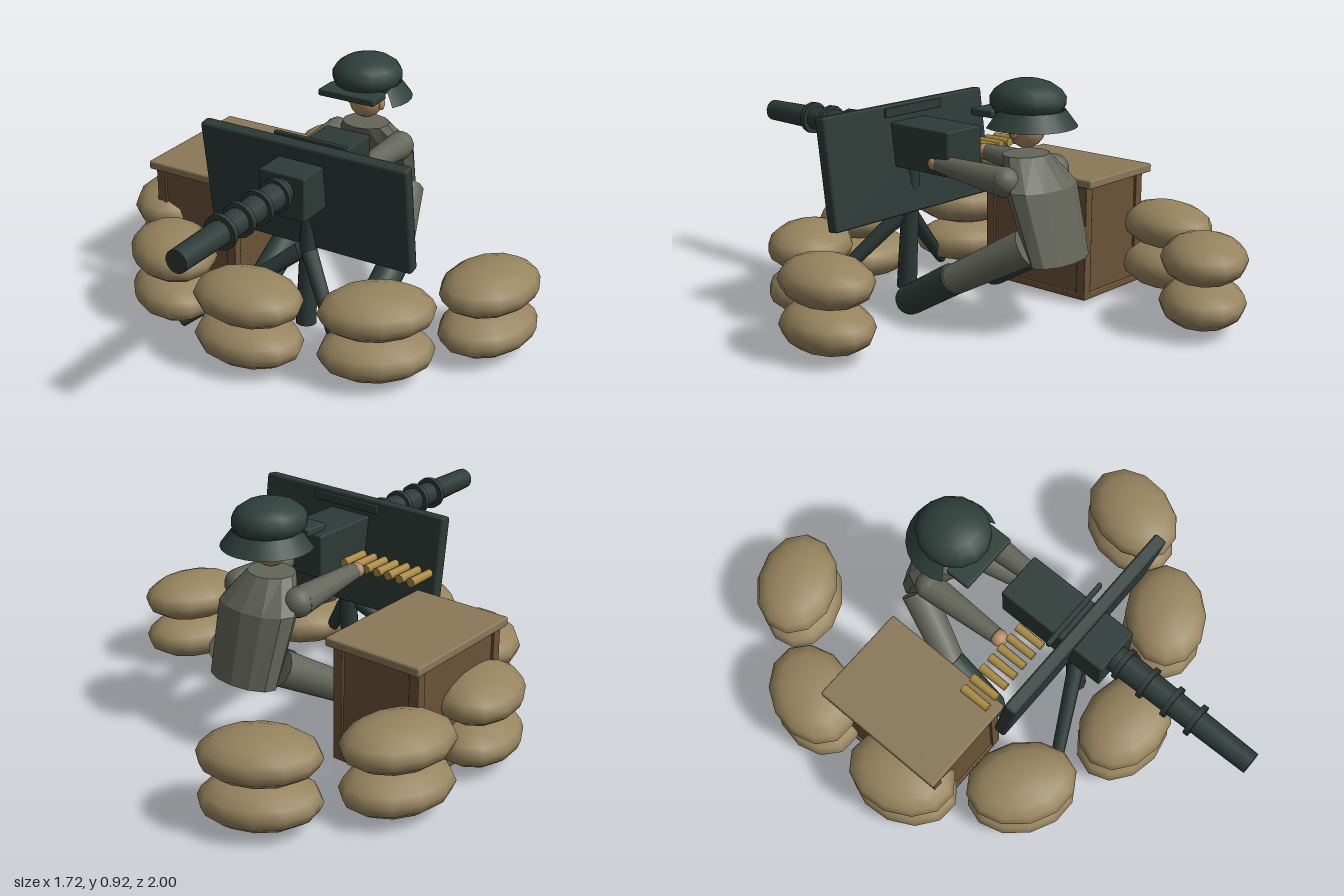
import * as THREE from 'three';
import { RoundedBoxGeometry } from 'three/addons/geometries/RoundedBoxGeometry.js';

const mat = (name, color, extra = {}) => {
  const m = new THREE.MeshStandardMaterial({ color, ...extra });
  m.name = name;
  return m;
};

export function createModel() {
  const root = new THREE.Group();
  root.name = 'gunEmplacement';
  const steel = mat('darkSteel', 0x2d3a37);
  const green = mat('helmetGreen', 0x2f403b, { side: THREE.DoubleSide });
  const cloth = mat('greyCloth', 0x64665a);
  const skin = mat('skin', 0xb08a64);
  const burlap = mat('burlap', 0x97845f);
  const wood = mat('crateWood', 0x6b5238);
  const lidWood = mat('lidWood', 0x8a7858);
  const brass = mat('brass', 0xab8c45);

  const add = (name, geo, material, x = 0, y = 0, z = 0, parent = root) => {
    const m = new THREE.Mesh(geo, material);
    m.name = name;
    m.position.set(x, y, z);
    parent.add(m);
    return m;
  };
  const box = (name, material, x0, x1, y0, y1, z0, z1, r = 0.006, parent = root) =>
    add(name, new RoundedBoxGeometry(x1 - x0, y1 - y0, z1 - z0, 1, r), material,
      (x0 + x1) / 2, (y0 + y1) / 2, (z0 + z1) / 2, parent);
  const ball = (name, material, x, y, z, rx, ry = rx, rz = rx, parent = root) => {
    const m = add(name, new THREE.SphereGeometry(1, 14, 9), material, x, y, z, parent);
    m.scale.set(rx, ry, rz);
    return m;
  };
  // Tapered rod from point a to point b
  const rod = (name, material, a, b, ra, rb, sides = 12, parent = root) => {
    const p = new THREE.Vector3(...a), q = new THREE.Vector3(...b);
    const m = add(name, new THREE.CylinderGeometry(rb, ra, p.distanceTo(q), sides), material, 0, 0, 0, parent);
    m.position.copy(p).lerp(q, 0.5);
    m.quaternion.setFromUnitVectors(new THREE.Vector3(0, 1, 0), q.sub(p).normalize());
    return m;
  };

  // Sandbag wall: pairs of stacked bags along an arc
  const bags = new THREE.Group();
  bags.name = 'sandbagWall';
  root.add(bags);
  const bagGeo = new THREE.SphereGeometry(1, 12, 8);
  [[0, 0.52], [0.44, 0.37], [0.7, 0], [-0.44, 0.37], [-0.7, 0], [-0.69, -0.47], [-0.395, -0.83]].forEach(([x, z]) => {
    for (const y of [0.105, 0.27]) {
      const bag = add('sandbag', bagGeo, burlap, x, y, z, bags);
      bag.scale.set(0.213, 0.09, 0.16);
      bag.rotation.y = Math.atan2(x, z + 0.2);
    }
  });

  // Ammunition crate
  const crate = new THREE.Group();
  crate.name = 'crate';
  root.add(crate);
  box('crateBody', wood, -0.67, -0.325, 0.02, 0.47, -0.34, 0.14, 0.004, crate);
  box('crateBase', wood, -0.68, -0.315, 0.015, 0.04, -0.35, 0.15, 0.004, crate);
  box('crateLid', lidWood, -0.7, -0.3, 0.465, 0.5, -0.38, 0.17, 0.008, crate);
  for (const x of [-0.66, -0.335]) for (const z of [-0.33, 0.13])
    box('crateCorner', wood, x - 0.02, x + 0.02, 0.02, 0.468, z - 0.02, z + 0.02, 0.003, crate);

  // Gun
  const gx = 0.063, gy = 0.645;
  const gun = new THREE.Group();
  gun.name = 'gun';
  root.add(gun);
  box('receiver', steel, -0.03, 0.157, 0.545, 0.713, -0.07, 0.393, 0.006, gun);
  rod('barrel', steel, [gx, gy, 0.38], [gx, gy, 1], 0.053, 0.042, 14, gun);
  for (const z of [0.43, 0.54, 0.65, 0.755])
    rod('barrelRing', steel, [gx, gy, z - 0.01], [gx, gy, z + 0.01], 0.064, 0.064, 14, gun);
  const shield = add('shield', new RoundedBoxGeometry(0.855, 0.425, 0.05, 1, 0.01), steel, gx, 0.565, 0.222, gun);
  shield.rotation.x = 0.14;
  box('shieldBar', steel, -0.09, 0.21, 0.74, 0.775, 0.187, 0.203, 0.004, gun);

  // Mount
  rod('mountPost', steel, [gx, 0.04, 0.235], [gx, 0.56, 0.2], 0.04, 0.03, 10, gun);
  for (const s of [-1, 1])
    rod('mountLeg', steel, [0.36 * s, 0.018, 0.445], [gx + 0.02 * s, 0.34, 0.24], 0.022, 0.032, 10, gun);

  // Cartridge belt
  for (let i = 0; i < 7; i++) {
    const x = -0.365 + i * 0.051;
    rod('cartridge', brass, [x, 0.587, 0.03], [x, 0.587, 0.15], 0.018, 0.016, 8, gun);
  }

  // Gunner torso: loft through elliptical rings [y, z, rx, rz]
  const gunner = new THREE.Group();
  gunner.name = 'gunner';
  root.add(gunner);
  const rings = [[0.28, -0.47, 0, 0], [0.28, -0.47, 0.15, 0.07], [0.54, -0.385, 0.17, 0.092],
    [0.65, -0.31, 0.095, 0.08], [0.65, -0.31, 0, 0]];
  const n = 12, pos = [];
  const at = (r, i) => {
    const a = (i / n) * Math.PI * 2;
    return [Math.sin(a) * r[2], r[0], r[1] + Math.cos(a) * r[3]];
  };
  for (let k = 0; k < rings.length - 1; k++) for (let i = 0; i < n; i++) {
    const a = at(rings[k], i), b = at(rings[k], i + 1), c = at(rings[k + 1], i + 1), d = at(rings[k + 1], i);
    if (rings[k][2] > 0) pos.push(...a, ...b, ...c);
    if (rings[k + 1][2] > 0) pos.push(...a, ...c, ...d);
    if (rings[k + 1][2] === 0) continue;
  }
  const torso = new THREE.BufferGeometry();
  torso.setAttribute('position', new THREE.Float32BufferAttribute(pos, 3));
  torso.computeVertexNormals();
  add('torso', torso, cloth, 0, 0, 0, gunner);

  // Limbs
  for (const s of [-1, 1]) {
    rod('arm', cloth, [0.14 * s, 0.57, -0.32], [0.135 * s, 0.585, -0.01], 0.055, 0.033, 12, gunner);
    ball('shoulder', cloth, 0.14 * s, 0.57, -0.33, 0.056, 0.056, 0.056, gunner);
    ball('hand', skin, 0.135 * s, 0.585, 0.005, 0.033, 0.03, 0.033, gunner);
    rod('leg', cloth, [0.13 * s, 0.345, -0.42], [0.235 * s, 0.19, -0.16], 0.068, 0.056, 12, gunner);
    rod('boot', green, [0.235 * s, 0.2, -0.17], [0.24 * s, 0.075, 0.04], 0.06, 0.058, 12, gunner);
    ball('bootToe', green, 0.24 * s, 0.075, 0.042, 0.058, 0.058, 0.058, gunner);
    ball('ear', skin, 0.068 * s, 0.735, -0.31, 0.012, 0.025, 0.017, gunner);
  }

  // Head and helmet
  ball('head', skin, 0, 0.745, -0.312, 0.07, 0.075, 0.07, gunner);
  ball('helmetDome', green, 0, 0.845, -0.317, 0.135, 0.079, 0.143, gunner);
  const skirt = new THREE.CylinderGeometry(0.125, 0.17, 0.06, 16, 1, true, Math.PI * 0.34, Math.PI * 1.32);
  add('helmetSkirt', skirt, green, 0, 0.785, -0.33, gunner);
  const under = new THREE.CylinderGeometry(0.125, 0.125, 0.012, 16);
  add('helmetRim', under, green, 0, 0.806, -0.32, gunner);
  box('helmetVisor', green, -0.12, 0.12, 0.785, 0.812, -0.25, -0.15, 0.005, gunner);

  return root;
}
